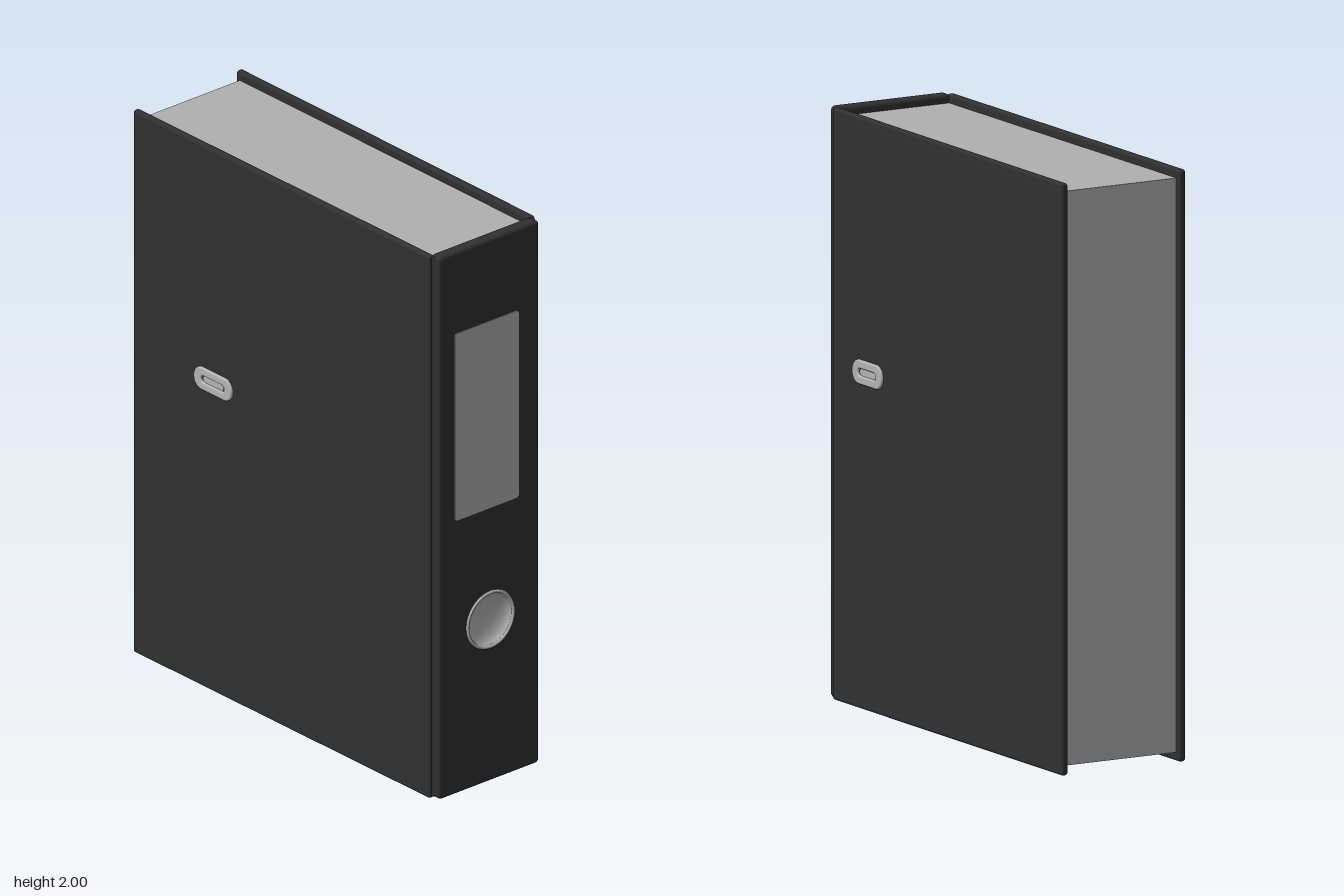
import * as THREE from 'three';
import { RoundedBoxGeometry } from 'three/addons/geometries/RoundedBoxGeometry.js';

const mat = (name, color) => {
  const m = new THREE.MeshStandardMaterial({ color });
  m.name = name;
  return m;
};

const add = (parent, name, geometry, material, x = 0, y = 0, z = 0) => {
  const mesh = new THREE.Mesh(geometry, material);
  mesh.name = name;
  mesh.position.set(x, y, z);
  parent.add(mesh);
  return mesh;
};

// Rounded rectangle outline centred on (x, y)
function roundRect(w, h, r, x = 0, y = 0, Type = THREE.Shape) {
  const s = new Type();
  const a = w / 2 - r, b = h / 2 - r;
  s.absarc(x + a, y + b, r, 0, Math.PI / 2);
  s.absarc(x - a, y + b, r, Math.PI / 2, Math.PI);
  s.absarc(x - a, y - b, r, Math.PI, Math.PI * 1.5);
  s.absarc(x + a, y - b, r, Math.PI * 1.5, Math.PI * 2);
  s.closePath();
  return s;
}

export function createModel() {
  const black = mat('black cover', 0x303030);
  const paper = mat('paper grey', 0xb0b0b0);
  const metal = mat('metal grey', 0xb4b4b4);
  metal.side = THREE.DoubleSide;

  const model = new THREE.Group();
  model.name = 'leverArchFile';

  // Oblong eyelet: raised rim, recessed floor and a small inner ridge, facing +z
  function eyelet() {
    const g = new THREE.Group();
    g.name = 'eyelet';
    const rim = roundRect(0.178, 0.07, 0.034);
    rim.holes.push(roundRect(0.125, 0.036, 0.017, 0, 0, THREE.Path));
    add(g, 'eyeletRim', new THREE.ExtrudeGeometry(rim, {
      depth: 0.005, bevelEnabled: true, bevelThickness: 0.006, bevelSize: 0.006, bevelSegments: 3, curveSegments: 8,
    }), metal);
    add(g, 'eyeletFloor', new THREE.ShapeGeometry(roundRect(0.14, 0.05, 0.024), 8), metal, 0, 0, 0.001);
    const ridge = roundRect(0.1, 0.024, 0.011);
    add(g, 'eyeletRidge', new THREE.ExtrudeGeometry(ridge, { depth: 0.004, bevelEnabled: false, curveSegments: 8 }), metal);
    return g;
  }

  // Side covers, each turned slightly so that the file leans
  const covers = [
    { name: 'leftCover', x: 0.227, turn: 0.0098, side: 1, front: 0.712, slot: 0.48 },
    { name: 'rightCover', x: -0.221, turn: 0.015, side: -1, front: 0.72, slot: -0.35 },
  ];
  for (const c of covers) {
    const g = new THREE.Group();
    g.name = c.name;
    g.position.set(c.x, 0, 0);
    g.rotation.y = c.turn;
    const length = c.front + 0.755;
    add(g, 'coverBoard', new RoundedBoxGeometry(0.026, 2, length, 3, 0.01), black, 0, 1, c.front - length / 2);
    const e = eyelet();
    e.rotation.y = c.side * Math.PI / 2;
    e.position.set(c.side * 0.011, 1.14, c.slot);
    g.add(e);
    model.add(g);
  }

  // Spine with a finger hole cut through it
  const spine = roundRect(0.416, 1.976, 0.004, 0.014, 1);
  const hole = new THREE.Path();
  hole.absarc(0.018, 0.597, 0.108, 0, Math.PI * 2);
  spine.holes.push(hole);
  add(model, 'spine', new THREE.ExtrudeGeometry(spine, {
    depth: 0.022, bevelEnabled: true, bevelThickness: 0.012, bevelSize: 0.012, bevelSegments: 3, curveSegments: 32,
  }), black, 0, 0, 0.716);

  // Hinge strips joining the spine to the covers
  for (const [x, turn] of [[0.231, -0.6], [-0.205, 0.6]]) {
    const strip = add(model, 'hinge', new RoundedBoxGeometry(0.018, 1.99, 0.04, 2, 0.007), black, x, 1, 0.716);
    strip.rotation.y = turn;
  }

  // Paper block, filling the space between the covers
  const block = new THREE.Shape([
    new THREE.Vector2(-0.219, 0.735), new THREE.Vector2(0.207, 0.735),
    new THREE.Vector2(0.221, -0.717), new THREE.Vector2(-0.198, -0.717),
  ]);
  const blockGeo = new THREE.ExtrudeGeometry(block, { depth: 1.94, bevelEnabled: false });
  blockGeo.rotateX(-Math.PI / 2);
  add(model, 'paperBlock', blockGeo, paper, 0, 0.03, 0);

  // Spine label
  add(model, 'label', new THREE.ExtrudeGeometry(roundRect(0.28, 0.69, 0.012, 0, 1.355), {
    depth: 0.004, bevelEnabled: false,
  }), paper, 0, 0, 0.749);

  // Finger hole: dished cup and rolled rim
  const cup = [[0, 0], [0.04, 0.003], [0.07, 0.01], [0.088, 0.02], [0.097, 0.034]]
    .map(([r, h]) => new THREE.Vector2(r, h));
  const cupGeo = new THREE.LatheGeometry(cup, 40);
  cupGeo.rotateX(Math.PI / 2);
  add(model, 'fingerCup', cupGeo, metal, 0.018, 0.597, 0.719);
  add(model, 'fingerRim', new THREE.TorusGeometry(0.1, 0.006, 8, 40), metal, 0.018, 0.597, 0.75);

  return model;
}
